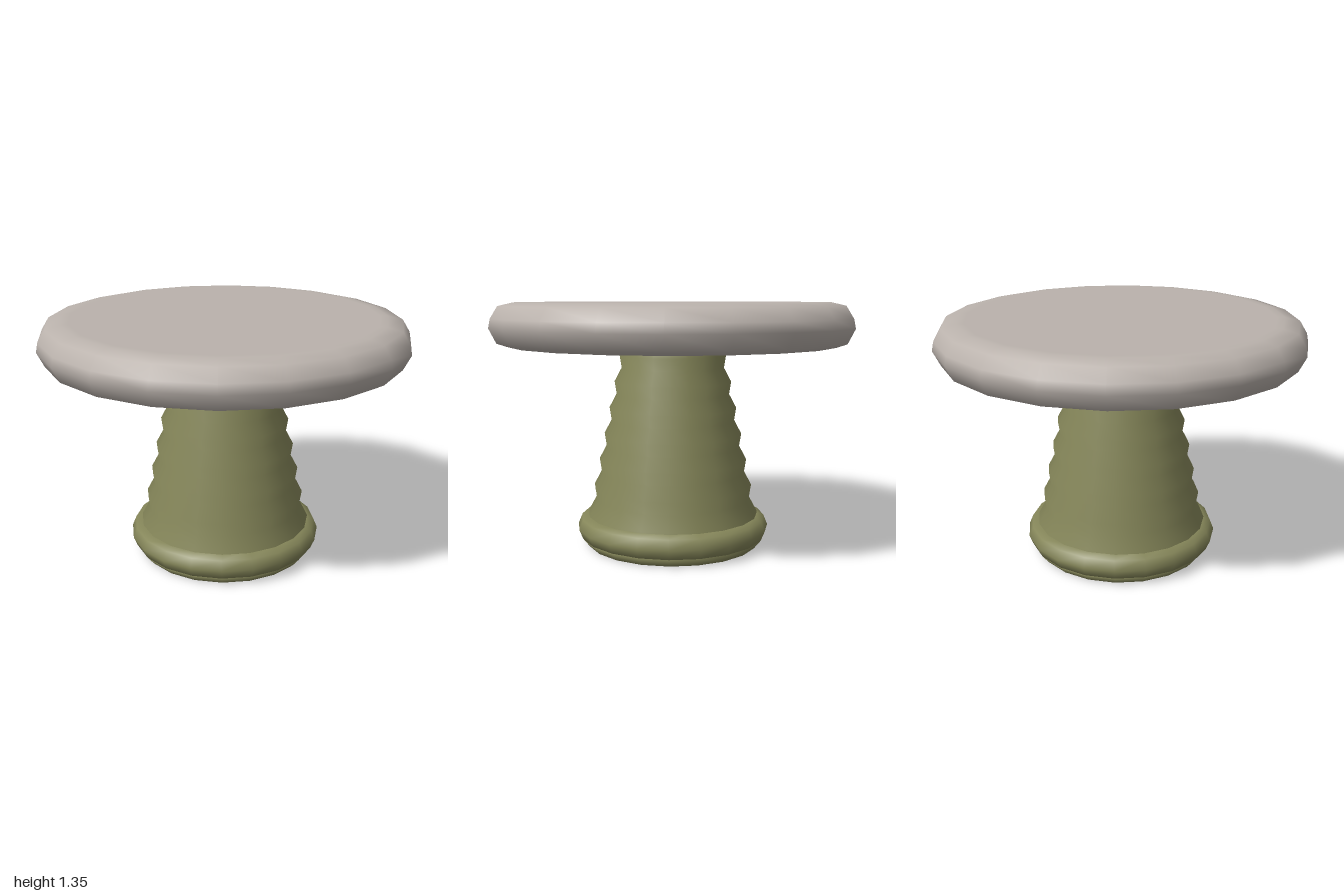
import * as THREE from 'three';

const SIDES = 20;

// Smooth turned part from [radius, height] points, listed bottom to top
function turned(name, points, material) {
  const profile = points.map(([r, y]) => new THREE.Vector2(r, y));
  const mesh = new THREE.Mesh(new THREE.LatheGeometry(profile, SIDES), material);
  mesh.name = name;
  return mesh;
}

export function createModel() {
  const stone = new THREE.MeshStandardMaterial({ color: 0xbab2ac });
  stone.name = 'warm grey';
  const olive = new THREE.MeshStandardMaterial({ color: 0x86875a });
  olive.name = 'olive green';

  const table = new THREE.Group();
  table.name = 'roundTable';

  // Round top with softened rim
  table.add(turned('tableTop', [
    [0, 1.12], [0.86, 1.12], [0.9, 1.12], [0.96, 1.14], [1, 1.22],
    [0.99, 1.27], [0.95, 1.335], [0.87, 1.354], [0.83, 1.354], [0, 1.354],
  ], stone));

  // Tapering pedestal with evenly stepped ridges
  const column = [[0, 0], [0.48, 0], [0.515, 0.043], [0.475, 0.115], [0.48, 0.175]];
  for (let i = 0; i < 6; i++) {
    const y = 0.26 + i * 0.1465;
    const r = 0.434 - i * 0.0297;
    column.push([r, y], [r + 0.011, y + 0.07]);
  }
  column.push([0.263, 1.13]);
  table.add(turned('pedestal', column, olive));

  // Rounded ring around the foot
  const ring = new THREE.TorusGeometry(0.465, 0.075, 8, SIDES).rotateX(Math.PI / 2);
  const foot = new THREE.Mesh(ring, olive);
  foot.name = 'footRing';
  foot.position.y = 0.1;
  table.add(foot);

  return table;
}
